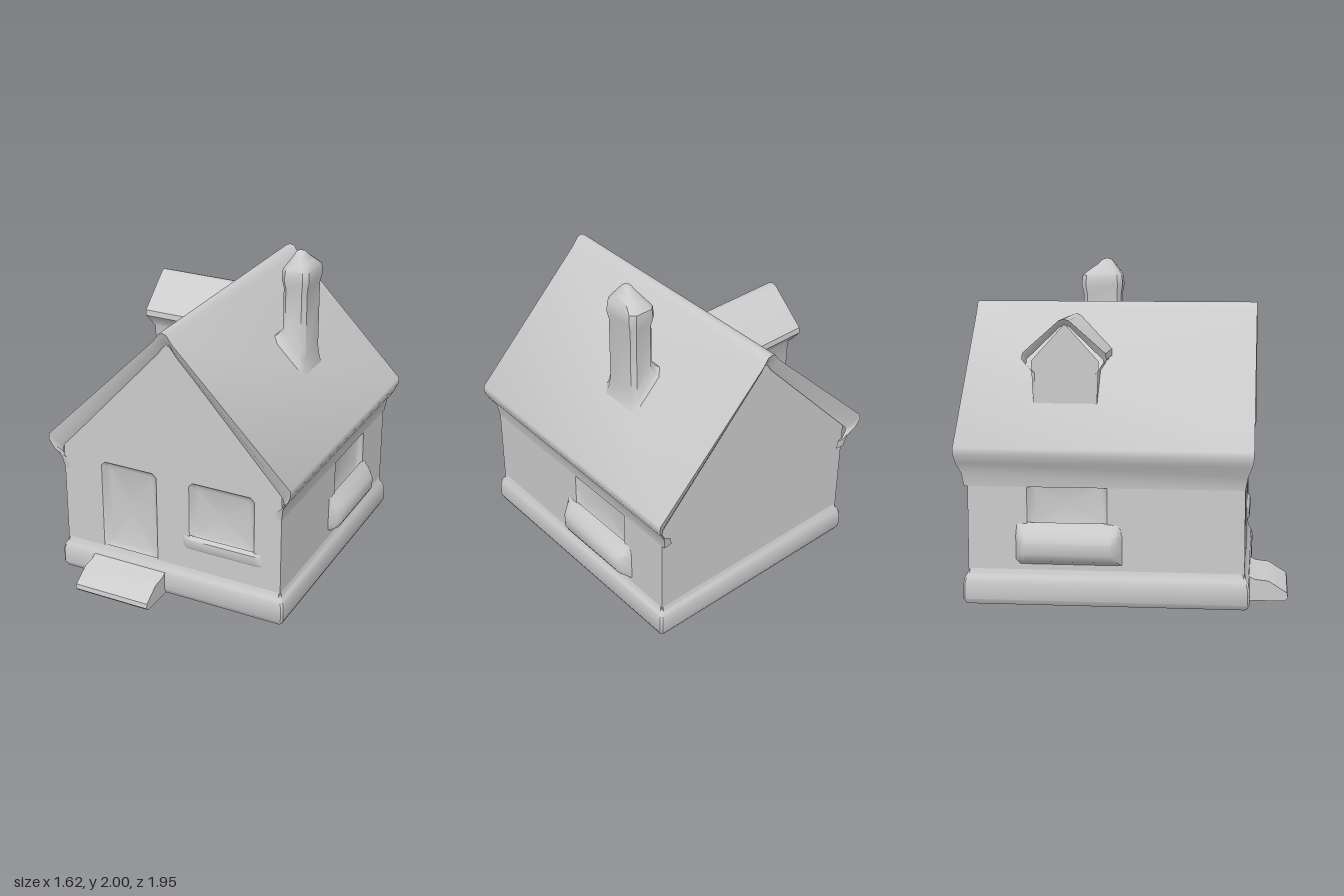
import * as THREE from 'three';
import { toCreasedNormals } from 'three/addons/utils/BufferGeometryUtils.js';

const material = new THREE.MeshStandardMaterial({ color: 0xcccccc });

function mesh(geometry, name, parent) {
  const m = new THREE.Mesh(toCreasedNormals(geometry, 0.7), material);
  m.name = name;
  parent.add(m);
  return m;
}

// Skins rows of points; each row is a loop (closed) or a strip (open)
function loft(rows, closed = true) {
  const n = rows[0].length, index = [];
  for (let i = 0; i < rows.length - 1; i++) {
    for (let j = 0; j < (closed ? n : n - 1); j++) {
      const k = (j + 1) % n;
      const a = i * n + j, b = i * n + k, c = b + n, d = a + n;
      index.push(a, b, c, a, c, d);
    }
  }
  const g = new THREE.BufferGeometry();
  g.setAttribute('position', new THREE.Float32BufferAttribute(rows.flat(2), 3));
  g.setIndex(index);
  return g;
}

// Horizontal section with chamfered corners
function ring(y, x0, x1, z0, z1, c) {
  return [
    [x1 - c, y, z1], [x1, y, z1 - c], [x1, y, z0 + c], [x1 - c, y, z0],
    [x0 + c, y, z0], [x0, y, z0 + c], [x0, y, z1 - c], [x0 + c, y, z1],
  ];
}
const point = (p, n) => Array.from({ length: n }, () => p);

// Rectangle with cut corners in the wall plane, counter-clockwise
function rect([x0, x1, y0, y1], inset, z) {
  const a = x0 + inset, b = x1 - inset, c = y0 + inset, d = y1 - inset, r = 0.025;
  return [
    [a + r, c, z], [b - r, c, z], [b, c + r, z], [b, d - r, z],
    [b - r, d, z], [a + r, d, z], [a, d - r, z], [a, c + r, z],
  ];
}

// Flat wall facing local +z, with soft recesses for openings
function wall(parent, name, outline, openings = []) {
  const group = new THREE.Group();
  group.name = name;
  const shape = new THREE.Shape(outline.map(p => new THREE.Vector2(...p)));
  for (const o of openings) {
    shape.holes.push(new THREE.Path(rect(o.box, 0, 0).map(p => new THREE.Vector2(p[0], p[1]))));
    const [x0, x1, y0, y1] = o.box;
    const centre = [(x0 + x1) / 2, (y0 + y1) / 2, -o.depth];
    mesh(loft([
      rect(o.box, 0, 0), rect(o.box, 0.02, -o.depth * 0.7),
      rect(o.box, 0.045, -o.depth), point(centre, 8),
    ]), o.name, group);
  }
  mesh(new THREE.ShapeGeometry(shape), name + 'Face', group);
  parent.add(group);
  return group;
}

// Window ledge along local x; profile points are [y, out]
function sill(parent, x0, x1, profile) {
  const row = (x, k) => profile.map(([y, out]) => [x, y, out * k - 0.005]);
  mesh(loft([
    row(x0, 0), row(x0 + 0.03, 0.75), row(x0 + 0.06, 1),
    row(x1 - 0.06, 1), row(x1 - 0.03, 0.75), row(x1, 0),
  ]), 'windowSill', parent);
}

// Gabled shell along z; right-half points [x, y, overhang] from the wall to the ridge
function gableShell(parent, name, half, front, back, drop) {
  const pts = [...half.map(([x, y, e]) => [-x, y, e]), ...half.slice(0, -1).reverse()];
  const max = half[half.length - 1][2];
  const outer = (z, s) => pts.map(([x, y, e]) => [x, y, z + s * e]);
  const inner = (z, k) => pts.map(([x, y, e]) => [x * (1 - 0.08 * k), y - drop * k * e / max, z]);
  const lip = (z, s) => pts.map(([x, y, e]) => [x * 0.96, y - drop * 0.5 * e / max, z + s * e * 0.6]);
  return mesh(loft([
    inner(front - 0.005, 1), lip(front, 1), outer(front, 1),
    outer(back, -1), lip(back, -1), inner(back + 0.005, 1),
  ], false), name, parent);
}

export function createModel() {
  const house = new THREE.Group();
  house.name = 'house';
  const W = 0.733, F = 0.72, B = -0.9;

  // Rounded plinth
  const plinth = [[0, 0.015], [0.03, 0.03], [0.12, 0.03], [0.155, 0.022], [0.18, 0.008], [0.22, -0.003]]
    .map(([y, o]) => ring(y, -W - o, W + o, B - o, F + o, 0.012));
  mesh(loft([point([0, 0, -0.09], 8), ...plinth]), 'plinth', house);

  // Front wall with door and window, plain back wall
  const gable = [[-W, 0.1], [W, 0.1], [W, 0.88], [0, 1.66], [-W, 0.88]];
  const front = wall(house, 'frontWall', gable, [
    { name: 'door', box: [-0.47, -0.09, 0.19, 0.8], depth: 0.035 },
    { name: 'frontWindow', box: [0.13, 0.56, 0.4, 0.8], depth: 0.035 },
  ]);
  front.position.z = F;
  sill(front, 0.08, 0.62, [[0.44, 0], [0.42, 0.02], [0.37, 0.022], [0.34, 0]]);
  const rear = wall(house, 'backWall', gable);
  rear.position.z = B;
  rear.rotation.y = Math.PI;

  // Side walls, each with a window and a deep ledge
  const ledge = [[0.49, 0], [0.45, 0.03], [0.42, 0.06], [0.38, 0.078], [0.31, 0.076], [0.27, 0.055], [0.24, 0]];
  for (const s of [1, -1]) {
    const span = (a, b) => (s > 0 ? [a, b] : [-b, -a]);
    const [z0, z1] = s > 0 ? [-F, -B] : [B, F];
    const side = wall(house, s > 0 ? 'leftWall' : 'rightWall',
      [[z0, 0.1], [z1, 0.1], [z1, 0.8], [z0, 0.8]],
      [{ name: 'sideWindow', box: [...span(0.08, 0.55), 0.42, 0.77], depth: 0.035 }]);
    side.position.x = s * W;
    side.rotation.y = s * Math.PI / 2;
    sill(side, ...span(-0.01, 0.62), ledge);
  }

  // Main roof with soft eaves and a small ridge
  gableShell(house, 'roof', [
    [W, 0.7, 0], [0.745, 0.78, 0.015], [0.785, 0.845, 0.04], [0.808, 0.9, 0.05],
    [0.805, 0.935, 0.05], [0.06, 1.685, 0.05], [0.025, 1.735, 0.05], [0, 1.742, 0.05],
  ], F, B - 0.02, 0.1);

  // Dormer on the right-hand slope
  const dormer = new THREE.Group();
  dormer.name = 'dormer';
  dormer.position.z = -0.345;
  dormer.rotation.y = -Math.PI / 2;
  gableShell(dormer, 'dormerRoof', [
    [0.19, 1.1, 0], [0.19, 1.35, 0.005], [0.22, 1.4, 0.03], [0.25, 1.435, 0.04],
    [0.245, 1.47, 0.04], [0.03, 1.66, 0.04], [0, 1.67, 0.04],
  ], 0.57, 0.06, 0.04);
  wall(dormer, 'dormerFace', [[-0.185, 1.1], [0.185, 1.1], [0.2, 1.42], [0, 1.64], [-0.2, 1.42]])
    .position.z = 0.57;
  house.add(dormer);

  // Chimney: flared foot following the slope, swollen top and pointed cap
  const onSlope = (lift, ...r) => ring(0, ...r).map(([x, , z]) => [x, 1.74 - x + lift, z]);
  mesh(loft([
    onSlope(-0.03, 0.26, 0.52, -0.41, -0.05, 0.05),
    onSlope(0.02, 0.3, 0.495, -0.37, -0.09, 0.03),
    onSlope(0.1, 0.333, 0.487, -0.352, -0.11, 0.025),
    ring(1.77, 0.333, 0.487, -0.352, -0.11, 0.025),
    ring(1.83, 0.32, 0.5, -0.365, -0.1, 0.03),
    ring(1.89, 0.325, 0.495, -0.36, -0.105, 0.03),
    ring(1.93, 0.35, 0.475, -0.31, -0.13, 0.03),
    ring(1.965, 0.372, 0.45, -0.26, -0.155, 0.02),
    ring(1.99, 0.385, 0.437, -0.235, -0.175, 0.015),
    point([0.41, 2, -0.205], 8),
  ]), 'chimney', house);

  // Sloping door step
  const step = new THREE.Shape([
    [0.7, 0], [0.955, 0], [0.975, 0.02], [0.97, 0.05], [0.86, 0.12], [0.78, 0.128], [0.735, 0.15], [0.7, 0.16],
  ].map(p => new THREE.Vector2(...p)));
  const stepGeometry = new THREE.ExtrudeGeometry(step, { depth: 0.5, bevelEnabled: false });
  stepGeometry.rotateY(-Math.PI / 2).translate(-0.03, 0, 0);
  mesh(stepGeometry, 'doorStep', house);

  return house;
}
